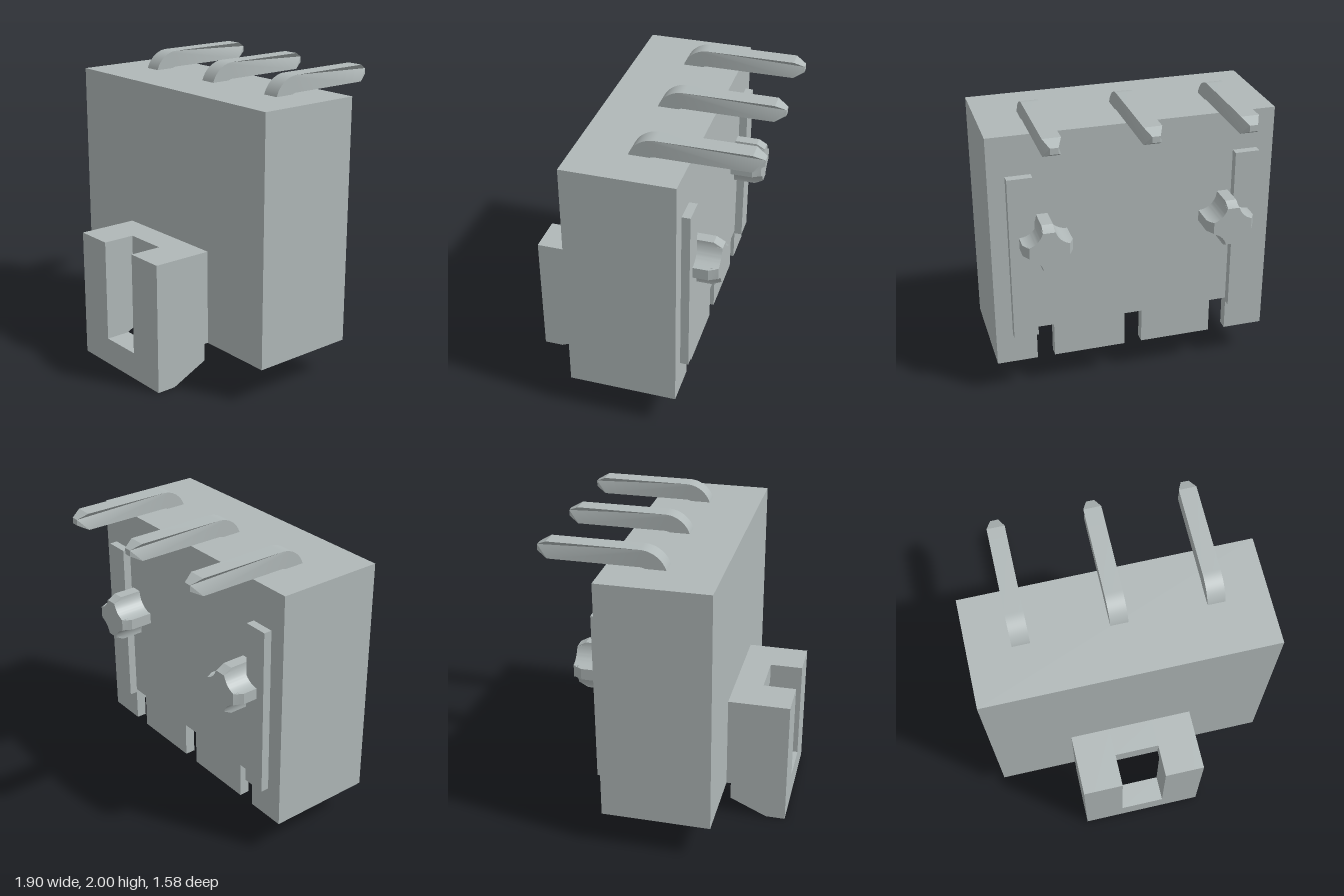
import * as THREE from 'three';
import { toCreasedNormals } from 'three/addons/utils/BufferGeometryUtils.js';

const plastic = new THREE.MeshStandardMaterial({ color: 0xb0b8b8 });
plastic.name = 'pale grey';

export function createModel() {
  const model = new THREE.Group();
  model.name = 'pinHeader';

  const add = (name, geometry) => {
    const mesh = new THREE.Mesh(geometry, plastic);
    mesh.name = name;
    model.add(mesh);
    return mesh;
  };
  const box = (name, x0, x1, y0, y1, z0, z1) =>
    add(name, new THREE.BoxGeometry(x1 - x0, y1 - y0, z1 - z0)
      .translate((x0 + x1) / 2, (y0 + y1) / 2, (z0 + z1) / 2));
  const polygon = (pts) => new THREE.Shape(pts.map(([x, y]) => new THREE.Vector2(x, y)));

  // Side profile given as (z, y), extruded along x
  const slabGeometry = (shape, x0, x1) =>
    new THREE.ExtrudeGeometry(shape, { depth: x1 - x0, bevelEnabled: false, curveSegments: 10 })
      .rotateY(-Math.PI / 2).translate(x1, 0, 0);
  // Plan given as (x, -z), extruded upwards
  const planGeometry = (shape, y0, y1) =>
    new THREE.ExtrudeGeometry(shape, { depth: y1 - y0, bevelEnabled: false })
      .rotateX(-Math.PI / 2).translate(0, y0, 0);

  // Housing: three cells open at the bottom, notched at the back
  const W = 0.95, BACK = 0.345, FRONT = -0.38;
  const bottom = 0.235, notchTop = 0.48, cellTop = 1.5, top = 1.88;
  const cellBack = BACK - 0.07, cellFront = FRONT + 0.08, notch = 0.06;
  const pitch = 0.615;
  const cells = [
    { c: pitch, x0: 0.345, x1: 0.87 },
    { c: 0, x0: -0.275, x1: 0.275 },
    { c: -pitch, x0: -0.87, x1: -0.345 },
  ];

  const comb = [[-W, FRONT], [W, FRONT], [W, BACK]];
  for (const { c, x0, x1 } of cells) {
    comb.push([c + notch, BACK], [c + notch, cellBack], [x1, cellBack], [x1, cellFront],
      [x0, cellFront], [x0, cellBack], [c - notch, cellBack], [c - notch, BACK]);
  }
  comb.push([-W, BACK]);
  add('housingNotchedRim', planGeometry(polygon(comb), bottom, notchTop));

  const walls = polygon([[-W, FRONT], [W, FRONT], [W, BACK], [-W, BACK]]);
  for (const { x0, x1 } of cells) {
    walls.holes.push(polygon([[x0, cellFront], [x0, cellBack], [x1, cellBack], [x1, cellFront]]));
  }
  add('housingWalls', planGeometry(walls, notchTop, cellTop));
  box('housingTop', -W, W, cellTop, top, -BACK, -FRONT);

  // Latch: hollow block with a front window running out through the top
  const LX = 0.4175, inner = 0.35, win = 0.15;
  const cheek = polygon([[0.38, 0.235], [0.41, 0.235], [0.41, 0.115], [0.66, 0],
    [0.79, 0], [0.79, 0.875], [0.38, 0.875]]);
  const post = polygon([[0.38, 0.735], [0.62, 0.735], [0.62, 0.018], [0.66, 0],
    [0.79, 0], [0.79, 0.875], [0.38, 0.875]]);
  for (const s of [1, -1]) {
    const span = (a, b) => (s > 0 ? [a, b] : [-b, -a]);
    add('latchCheek', slabGeometry(cheek, ...span(inner, LX)));
    add('latchPost', slabGeometry(post, ...span(win, inner)));
  }
  const sill = polygon([[0.62, 0.018], [0.66, 0], [0.79, 0], [0.79, 0.185], [0.62, 0.185]]);
  add('latchSill', slabGeometry(sill, -win, win));
  box('latchRoof', -win, win, 0.735, 0.875, 0.38, 0.57);

  // Bent contact pins with tapered tips
  const pinShape = new THREE.Shape();
  const bendZ = -0.13, bendY = 1.825;
  pinShape.moveTo(bendZ + 0.06, bendY);
  pinShape.lineTo(bendZ + 0.175, bendY);
  pinShape.absarc(bendZ, bendY, 0.175, 0, Math.PI / 2, false);
  pinShape.lineTo(-0.72, 2);
  pinShape.lineTo(-0.79, 1.965);
  pinShape.lineTo(-0.79, 1.925);
  pinShape.lineTo(-0.72, 1.888);
  pinShape.lineTo(bendZ, 1.888);
  pinShape.absarc(bendZ, bendY, 0.063, Math.PI / 2, 0, true);
  const pinGeometry = slabGeometry(pinShape, -0.0575, 0.0575);
  const pp = pinGeometry.attributes.position;
  for (let i = 0; i < pp.count; i++) {
    if (pp.getZ(i) < -0.75) pp.setX(i, pp.getX(i) * 0.45);
  }
  pinGeometry.computeVertexNormals();
  const smoothPin = toCreasedNormals(pinGeometry, 0.4);
  for (const { c } of cells) add('contactPin', smoothPin).position.x = c;

  // Cross-shaped locating pegs: a square with scooped corners and chamfered ends
  const R = 0.1625, scoop = 0.125;
  const pegShape = new THREE.Shape();
  pegShape.moveTo(R, R - scoop);
  pegShape.absarc(R, R, scoop, 1.5 * Math.PI, Math.PI, true);
  pegShape.absarc(-R, R, scoop, 2 * Math.PI, 1.5 * Math.PI, true);
  pegShape.absarc(-R, -R, scoop, Math.PI / 2, 0, true);
  pegShape.absarc(R, -R, scoop, Math.PI, Math.PI / 2, true);
  const pegGeometry = new THREE.ExtrudeGeometry(pegShape,
    { depth: 2, steps: 2, bevelEnabled: false, curveSegments: 10 });
  const gp = pegGeometry.attributes.position;
  const levels = [0, 0.155, 0.213], tip = 0.13;
  for (let i = 0; i < gp.count; i++) {
    const step = Math.round(gp.getZ(i));
    if (step === 2) {
      gp.setX(i, THREE.MathUtils.clamp(gp.getX(i), -tip, tip));
      gp.setY(i, THREE.MathUtils.clamp(gp.getY(i), -tip, tip));
    }
    gp.setZ(i, levels[step]);
  }
  pegGeometry.rotateY(Math.PI);
  pegGeometry.computeVertexNormals();
  const smoothPeg = toCreasedNormals(pegGeometry, 0.4);

  // Pegs and standoff ribs on the back
  for (const s of [1, -1]) {
    add('locatingPeg', smoothPeg).position.set(s * 0.612, 1.1625, -BACK);
    box('standoffRib', s * 0.755 - 0.0825, s * 0.755 + 0.0825, 0.455, 1.61, -0.4, -BACK);
  }

  return model;
}
